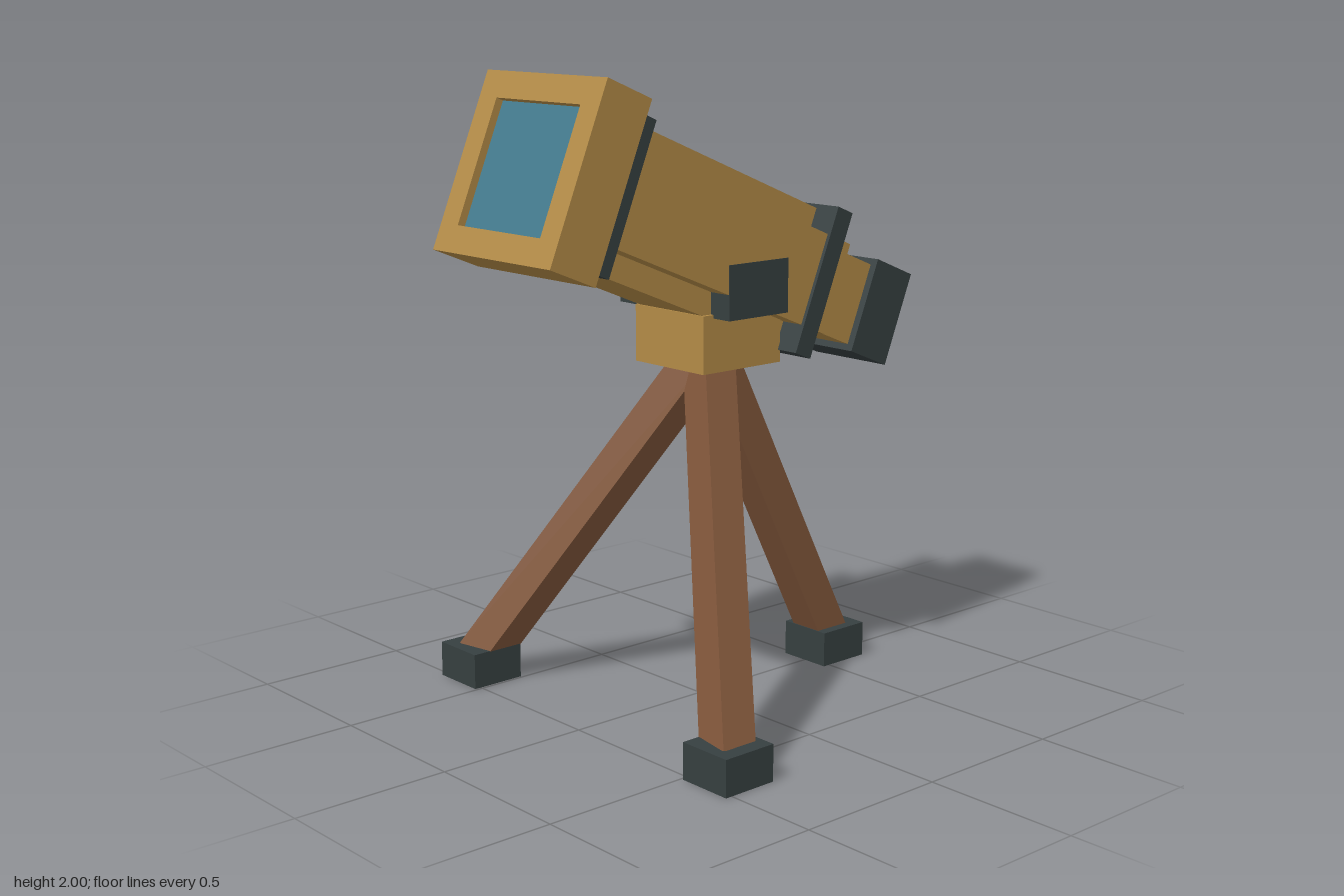
import * as THREE from 'three';

const paint = (name, color) => {
  const m = new THREE.MeshStandardMaterial({ color });
  m.name = name;
  return m;
};

export function createModel() {
  const brass = paint('brass', 0xb38b47);
  const metal = paint('dark metal', 0x363f40);
  const wood = paint('wood', 0x80563a);
  const glass = paint('blue glass', 0x437a8d);

  const model = new THREE.Group();
  model.name = 'telescope';

  const box = (parent, name, mat, [w, h, d], [x, y, z]) => {
    const mesh = new THREE.Mesh(new THREE.BoxGeometry(w, h, d), mat);
    mesh.name = name;
    mesh.position.set(x, y, z);
    parent.add(mesh);
    return mesh;
  };

  // Tilted optical tube, built along its own z axis
  const tube = new THREE.Group();
  tube.name = 'opticalTube';
  tube.position.set(0, 1.458, 0);
  tube.rotation.x = -0.389;
  model.add(tube);

  // Barrel with a cross-shaped section
  box(tube, 'barrelTall', brass, [0.292, 0.45, 1.009], [0, 0, 0.0955]);
  box(tube, 'barrelWide', brass, [0.452, 0.295, 1.007], [0, 0, 0.0965]);

  // Bands around both ends of the barrel
  for (const [name, z] of [['frontBand', 0.541], ['rearBand', -0.332]])
    box(tube, name, metal, [0.476, 0.476, 0.068], [0, 0, z]);

  // Hood: solid back and a square rim around the recessed lens
  const square = (path, r) => path.moveTo(-r, -r).lineTo(r, -r).lineTo(r, r).lineTo(-r, r).closePath();
  const rim = square(new THREE.Shape(), 0.278);
  rim.holes.push(square(new THREE.Path(), 0.195));
  const hood = new THREE.Mesh(
    new THREE.ExtrudeGeometry(rim, { depth: 0.173, bevelEnabled: false }), brass);
  hood.name = 'hood';
  hood.position.z = 0.578;
  tube.add(hood);
  box(tube, 'frontLens', glass, [0.39, 0.39, 0.148], [0, 0, 0.652]);

  // Eyepiece
  box(tube, 'eyepieceTube', brass, [0.264, 0.27, 0.3], [0, 0, -0.53]);
  box(tube, 'eyecup', metal, [0.314, 0.312, 0.172], [0, 0, -0.709]);
  box(tube, 'eyeLens', glass, [0.17, 0.17, 0.04], [0, 0, -0.797]);

  // Mount block, pivot through the barrel and side knob
  box(model, 'mount', brass, [0.315, 0.18, 0.323], [0, 1.175, -0.034]);
  box(model, 'pivot', metal, [0.456, 0.17, 0.245], [0, 1.339, -0.037]);
  box(model, 'knob', metal, [0.11, 0.197, 0.162], [-0.279, 1.341, -0.038]);

  // Tripod: each leg leans from the hub to its foot
  const hub = new THREE.Vector3(0, 1.12, -0.037);
  for (const [name, x, z] of [['Left', 0.6, 0.43], ['Right', -0.6, 0.43], ['Rear', 0, -0.568]]) {
    const end = new THREE.Vector3(x, 0.07, z);
    const dir = end.clone().sub(hub);
    const length = dir.length();
    dir.normalize();
    const mid = hub.clone().add(end).multiplyScalar(0.5);
    const leg = box(model, 'leg' + name, wood, [0.117, length, 0.117], mid.toArray());
    leg.rotation.set(-Math.asin(dir.z), 0, Math.atan2(dir.x, -dir.y), 'ZYX');
    box(model, 'foot' + name, metal, [0.184, 0.115, 0.184], [x, 0.0575, z]);
  }

  return model;
}
